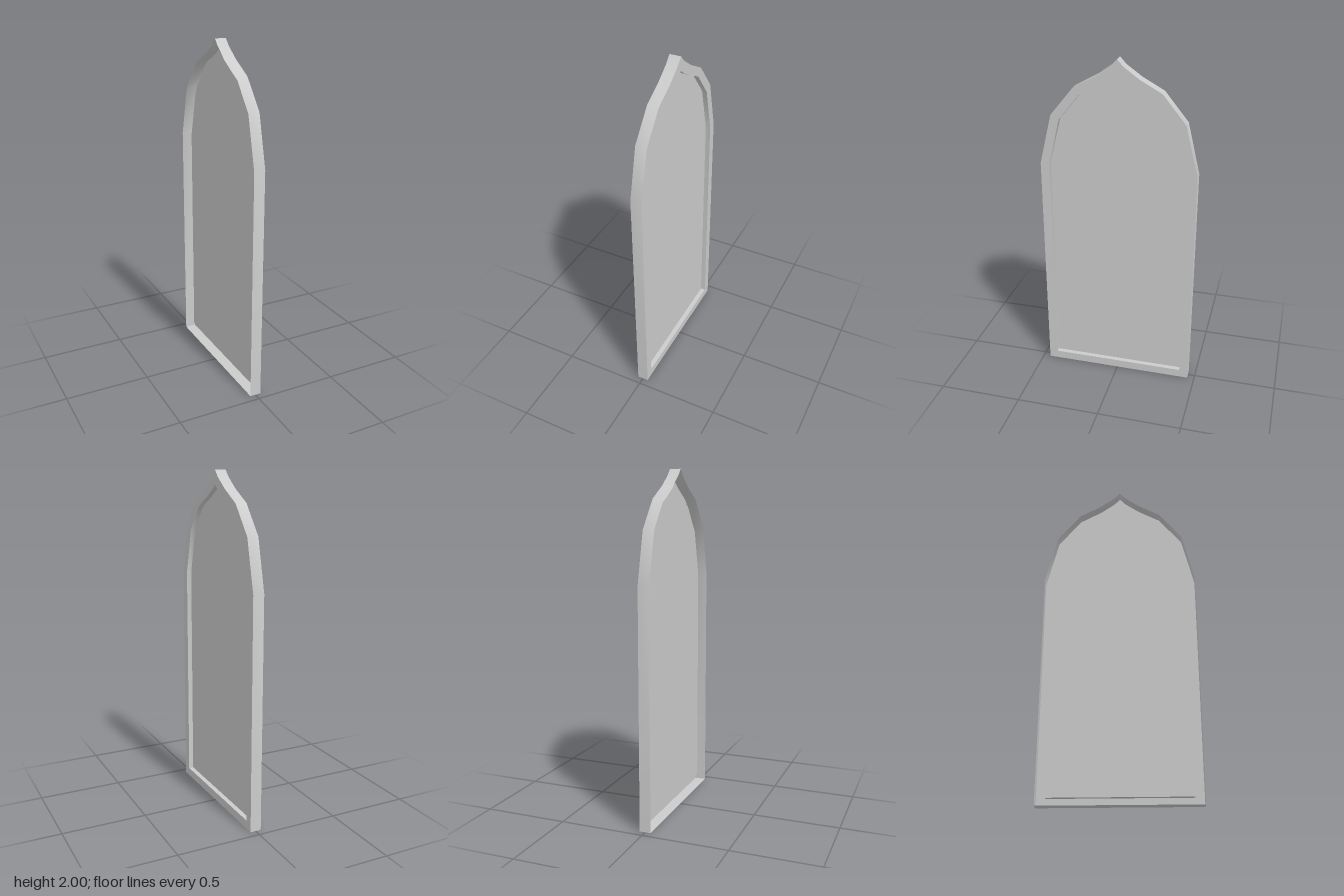
import * as THREE from 'three';
import { toCreasedNormals } from 'three/addons/utils/BufferGeometryUtils.js';

const FRONT = 0.033, BACK = -0.033, PANEL = 0.004;

// Half profiles of the pointed arch, bottom to tip: [across, up]
const OUTER = [[0.457, 0], [0.457, 1.37], [0.385, 1.665], [0.25, 1.83], [0.122, 1.9], [0.035, 1.962], [0, 2]];
const INNER = [[0.405, 0.05], [0.405, 1.37], [0.338, 1.64], [0.217, 1.79], [0.115, 1.843], [0.04, 1.887], [0, 1.92]];

// Mirror a half profile into a closed counter-clockwise loop
function archLoop(half) {
  const left = half.slice(0, -1).reverse().map(([x, y]) => [-x, y]);
  return [...half, ...left].map(([x, y]) => new THREE.Vector2(x, y));
}

// Band of quads following a loop between two depths
function wallGeometry(loop, z0, z1) {
  const pos = [];
  loop.forEach((a, i) => {
    const b = loop[(i + 1) % loop.length];
    pos.push(a.x, a.y, z0, b.x, b.y, z0, b.x, b.y, z1);
    pos.push(a.x, a.y, z0, b.x, b.y, z1, a.x, a.y, z1);
  });
  const geometry = new THREE.BufferGeometry();
  geometry.setAttribute('position', new THREE.Float32BufferAttribute(pos, 3));
  return toCreasedNormals(geometry, 0.6);
}

export function createModel() {
  const group = new THREE.Group();
  group.name = 'archedWindow';
  const material = new THREE.MeshStandardMaterial({ color: 0xcccccc, side: THREE.DoubleSide });
  const outer = archLoop(OUTER);
  const inner = archLoop(INNER);

  // Shapes are drawn facing +z, then turned to face +x
  const add = (name, geometry) => {
    geometry.rotateY(Math.PI / 2);
    const mesh = new THREE.Mesh(geometry, material);
    mesh.name = name;
    group.add(mesh);
  };

  // Flat rim around the opening
  const rim = new THREE.Shape(outer);
  rim.holes.push(new THREE.Path(inner));
  add('frameFace', new THREE.ShapeGeometry(rim).translate(0, 0, FRONT));

  // Outer edge, left open at the back
  add('frameEdge', wallGeometry(outer, BACK, FRONT));

  // Inner step down to the recessed panel
  add('recessWall', wallGeometry([...inner].reverse(), PANEL, FRONT));
  add('panel', new THREE.ShapeGeometry(new THREE.Shape(inner)).translate(0, 0, PANEL));

  return group;
}
